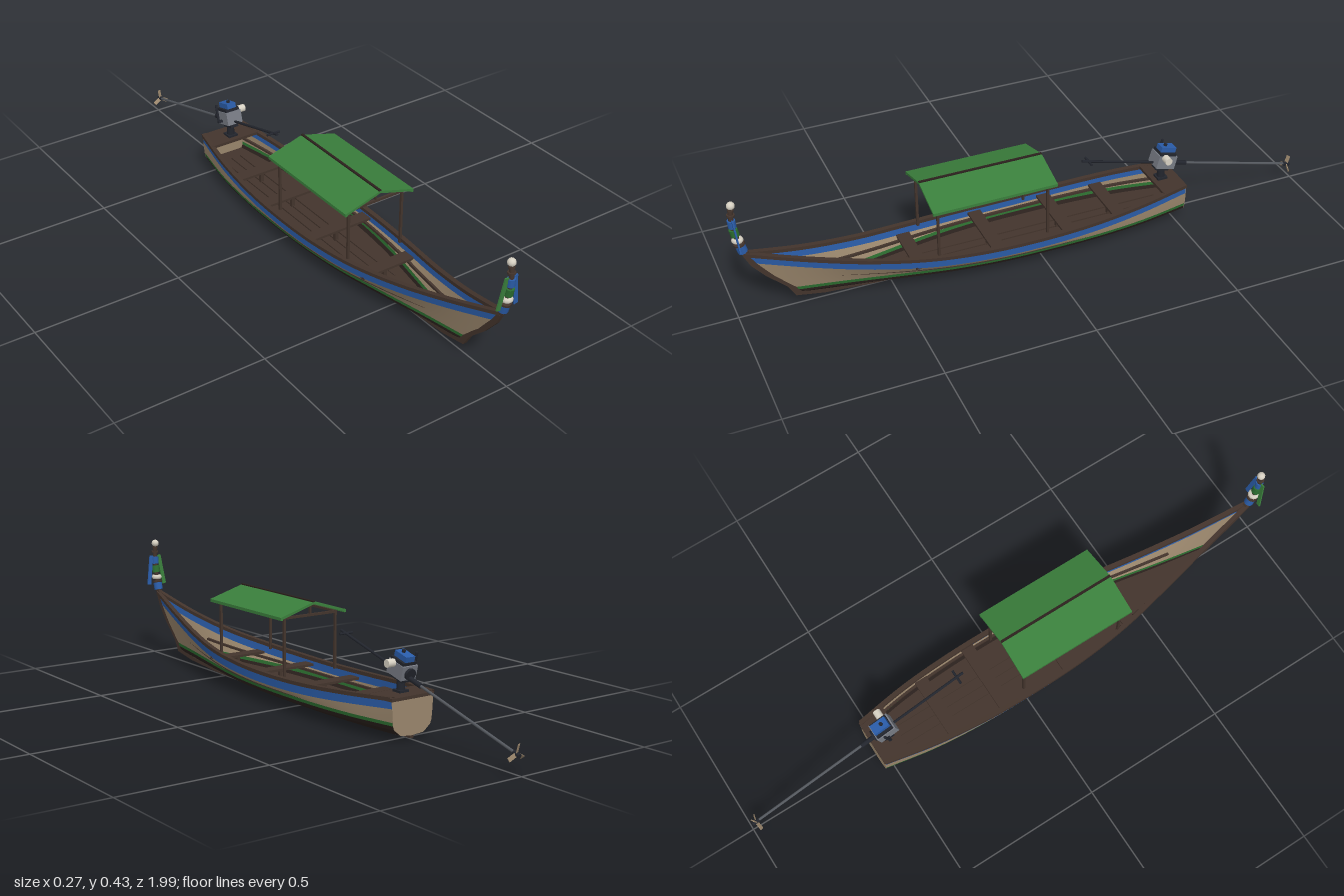
import * as THREE from 'three';

const mat = (name, color, side = THREE.FrontSide) => {
  const m = new THREE.MeshStandardMaterial({ color, side });
  m.name = name;
  return m;
};
const D = THREE.DoubleSide;
const M = {
  brown: mat('dark wood', 0x43342c, D), bottom: mat('bottom paint', 0x2b211d, D),
  tan: mat('bare wood', 0x9a866c, D), green: mat('green', 0x3a7f3c, D),
  stripe: mat('stripe green', 0x2c6e30, D), blue: mat('blue', 0x2a5ca8, D),
  white: mat('cream', 0xd8d2c4), grey: mat('engine grey', 0x777b84),
  black: mat('black metal', 0x22252d), steel: mat('shaft steel', 0x54585e),
};

// Hull tables: nine even stations from stern (s = 0) to stem (s = 1)
const BEAM = [0.08, 0.112, 0.128, 0.131, 0.126, 0.107, 0.073, 0.037, 0.005];
const SHEER = [0.133, 0.121, 0.11, 0.105, 0.108, 0.119, 0.142, 0.181, 0.233];
const KEEL = [0.013, 0.011, 0.01, 0.01, 0.01, 0.011, 0.014, 0.022, 0.04];
const sample = (a, s) => {
  const i = Math.min(Math.floor(s * 8), 7), t = s * 8 - i;
  const p = a[i], q = a[i + 1], o = i ? a[i - 1] : 2 * p - q, r = i < 7 ? a[i + 2] : 2 * q - p;
  return p + 0.5 * t * (q - o + t * (2 * o - 5 * p + 4 * q - r + t * (3 * (p - q) + r - o)));
};
const lerp = THREE.MathUtils.lerp;
const blueY = (s) => sample(SHEER, s) - lerp(0.028, 0.036, s);

// Hull levels from keel to sheer: share of beam, height, z of the stem end
const LEVELS = [
  [0, (s) => sample(KEEL, s), 0.805],
  [0.55, (s) => lerp(0.017, 0.044, s ** 4), 0.808],
  [0.87, (s) => lerp(0.038, 0.048, s ** 4), 0.81],
  [0.93, (s) => lerp(0.051, 0.056, s ** 3), 0.815],
  [0.95, (s) => lerp(0.062, 0.068, s ** 3), 0.822],
  [0.975, (s) => (lerp(0.062, 0.068, s ** 3) + blueY(s)) / 2, 0.885],
  [0.99, blueY, 0.935],
  [1, (s) => sample(SHEER, s), 0.957],
];
const level = (j, side = 1, dx = 0, dy = 0) => (s) => {
  const [f, y, end] = LEVELS[j];
  const x = Math.max(sample(BEAM, s) * f + dx, 0);
  return [side * x, y(s) + dy, lerp(-0.53, end, s)];
};

// Surface through a row of curves
function loft(curves, flat = false, s0 = 0, s1 = 1, n = 40) {
  const pos = [], idx = [], w = n + 1;
  curves.forEach((c) => { for (let i = 0; i <= n; i++) pos.push(...c(lerp(s0, s1, i / n))); });
  for (let j = 0; j < curves.length - 1; j++) {
    for (let i = 0; i < n; i++) {
      const a = j * w + i, b = a + w;
      idx.push(a, b, a + 1, b, b + 1, a + 1);
    }
  }
  let g = new THREE.BufferGeometry();
  g.setAttribute('position', new THREE.Float32BufferAttribute(pos, 3));
  g.setIndex(idx);
  if (flat) g = g.toNonIndexed();
  g.computeVertexNormals();
  return g;
}

function add(parent, name, geo, material, x = 0, y = 0, z = 0) {
  const m = new THREE.Mesh(geo, material);
  m.name = name;
  m.position.set(x, y, z);
  parent.add(m);
  return m;
}
const box = (w, h, d) => new THREE.BoxGeometry(w, h, d);
const cyl = (a, b, h, n = 12) => new THREE.CylinderGeometry(a, b, h, n);
const shape = (pts) => new THREE.Shape(pts.map(([x, y]) => new THREE.Vector2(x, y)));
const extrude = (pts, depth) => new THREE.ExtrudeGeometry(shape(pts), { depth, bevelEnabled: false });
function group(parent, name) {
  const g = new THREE.Group();
  g.name = name;
  parent.add(g);
  return g;
}

function buildHull(root) {
  const hull = group(root, 'hull');
  for (const side of [1, -1]) {
    const strip = (name, a, b, m) => {
      const c = [];
      for (let j = a; j <= b; j++) c.push(level(j, side));
      if (side < 0) c.reverse();
      add(hull, name, loft(c), m);
    };
    strip('bottomPlank', 0, 1, M.bottom);
    strip('bilgePlank', 1, 2, M.bottom);
    strip('lowerSide', 2, 3, M.bottom);
    strip('greenStripe', 3, 4, M.stripe);
    strip('sidePlank', 4, 6, M.tan);
    strip('blueStripe', 6, 7, M.blue);
    // gunwale and inner seat stringer, both of square section
    const bar = (name, j, dx, dy, w, h, s1) => add(hull, name, loft(
      [[-w, -h], [w, -h], [w, h], [-w, h], [-w, -h]].map(([u, v]) => level(j, side, dx + u, dy + v)),
      true, 0, s1), M.brown);
    bar('gunwale', 7, -0.002, 0.003, 0.008, 0.006, 1);
    bar('seatStringer', 5, -0.006, -0.002, 0.004, 0.004, 0.85);
  }
  // floor boards
  add(hull, 'floor', loft([level(2, 1, -0.001, 0.003), level(2, -1, -0.001, 0.003)], false, 0, 0.98), M.brown);
  for (const x of [-0.035, 0, 0.035]) add(hull, 'floorBatten', box(0.005, 0.005, 0.9), M.brown, x, 0.044, -0.02);
  // transom
  const right = LEVELS.map((_, j) => level(j)(0));
  const outline = [...right, ...right.slice(1).reverse().map(([x, y]) => [-x, y])];
  add(hull, 'transom', extrude(outline, 0.012), M.tan, 0, 0, -0.532);
  // keel and raked stem in one piece
  const keel = extrude([
    [-0.53, 0.004], [-0.1, 0], [0.3, 0], [0.55, 0.005], [0.72, 0.018], [0.812, 0.035], [0.835, 0.075],
    [0.862, 0.102], [0.897, 0.135], [0.942, 0.19], [0.968, 0.245], [0.945, 0.245], [0.92, 0.19],
    [0.875, 0.135], [0.815, 0.082], [0.79, 0.05], [0.7, 0.03], [0.5, 0.016], [-0.53, 0.016]], 0.014);
  keel.rotateY(-Math.PI / 2).translate(0.007, 0, 0);
  add(hull, 'keelAndStem', keel, M.brown);
}

function buildInterior(root) {
  const inside = group(root, 'interior');
  // stern deck
  const deck = extrude([[-0.082, -0.534], [0.082, -0.534], [0.097, -0.44], [-0.097, -0.44]], 0.01);
  deck.rotateX(Math.PI / 2);
  add(inside, 'sternDeck', deck, M.brown, 0, 0.137, 0);
  // seats with a centre leg
  for (const z of [-0.28, -0.09, 0.16, 0.42]) {
    const w = 2 * sample(BEAM, (z + 0.53) / 1.487) - 0.012;
    add(inside, 'seat', box(w, 0.008, 0.045), M.brown, 0, 0.09, z);
    add(inside, 'seatLeg', box(0.012, 0.045, 0.012), M.brown, 0, 0.065, z);
  }
}

function buildCanopy(root) {
  const canopy = group(root, 'canopy');
  const zMid = 0.178, len = 0.42;
  const roof = extrude([[-0.13, 0.298], [-0.122, 0.298], [-0.122, 0.302], [0, 0.338], [0.122, 0.302], [0.122, 0.298],
    [0.13, 0.298], [0.13, 0.308], [0, 0.346], [-0.13, 0.308]], len);
  add(canopy, 'roof', roof, M.green, 0, 0, zMid - len / 2);
  add(canopy, 'ridgePole', box(0.008, 0.006, len), M.bottom, 0, 0.346, zMid);
  for (const z of [-0.01, 0.365]) {
    for (const x of [-0.102, 0.102]) add(canopy, 'post', box(0.008, 0.195, 0.008), M.brown, x, 0.205, z);
    add(canopy, 'crossBeam', box(0.212, 0.008, 0.008), M.brown, 0, 0.3, z);
    add(canopy, 'kingPost', box(0.006, 0.036, 0.006), M.brown, 0, 0.32, z);
  }
  for (const x of [-0.102, 0.102]) add(canopy, 'sideBeam', box(0.007, 0.007, 0.38), M.brown, x, 0.301, zMid);
}

function buildProw(root) {
  const prow = group(root, 'prow');
  const path = new THREE.CatmullRomCurve3([[0.955, 0.232], [0.968, 0.28], [0.979, 0.33], [0.982, 0.37], [0.979, 0.415]]
    .map(([z, y]) => new THREE.Vector3(0, y, z)));
  add(prow, 'prowPost', new THREE.TubeGeometry(path, 16, 0.008, 8), M.brown);
  // wrapped cloth bands and garland: height along post, radius, length
  const band = (name, t, r, h, m) => {
    const p = path.getPointAt(t);
    const b = add(prow, name, cyl(r, r, h, 10), m, p.x, p.y, p.z);
    b.quaternion.setFromUnitVectors(new THREE.Vector3(0, 1, 0), path.getTangentAt(t));
  };
  band('blueSash', 0.15, 0.016, 0.026, M.blue);
  band('collar', 0.25, 0.018, 0.007, M.brown);
  band('greenSash', 0.5, 0.014, 0.026, M.stripe);
  band('upperBlueSash', 0.68, 0.013, 0.026, M.blue);
  band('finialRing', 0.85, 0.013, 0.005, M.brown);
  band('finialRing', 0.94, 0.01, 0.005, M.brown);
  const g = path.getPointAt(0.34);
  add(prow, 'garland', new THREE.TorusGeometry(0.011, 0.0085, 6, 10).rotateX(Math.PI / 2), M.white, 0, g.y, g.z);
  add(prow, 'finialBall', new THREE.IcosahedronGeometry(0.0135, 1), M.white, 0, 0.42, 0.978);
  // hanging ribbons
  for (const side of [1, -1]) {
    const r = add(prow, 'ribbon', box(0.014, 0.11, 0.005), side > 0 ? M.blue : M.green, side * 0.024, 0.32, 0.977);
    r.rotation.set(0.08, 0, side * 0.15);
  }
}

function buildMotor(root) {
  add(root, 'motorPedestal', cyl(0.012, 0.014, 0.06, 10), M.black, 0, 0.16, -0.475);
  add(root, 'pedestalFoot', box(0.036, 0.008, 0.036), M.black, 0, 0.14, -0.475);
  const motor = group(root, 'motor');
  motor.position.set(0, 0.208, -0.48);
  motor.rotation.x = -0.265;
  const rod = (name, r, z0, z1, m) =>
    add(motor, name, cyl(r, r, z1 - z0, 8).rotateX(Math.PI / 2), m, 0, -0.012, (z0 + z1) / 2);
  add(motor, 'engineBlock', box(0.058, 0.046, 0.07), M.grey, 0, 0.002, 0);
  add(motor, 'engineMount', box(0.03, 0.014, 0.05), M.black, 0, -0.028, 0);
  add(motor, 'engineCover', box(0.052, 0.01, 0.06), M.black, 0, 0.03, 0);
  add(motor, 'fuelTank', box(0.034, 0.018, 0.056), M.blue, 0, 0.044, 0);
  add(motor, 'tankCap', cyl(0.006, 0.006, 0.008), M.black, 0, 0.056, 0.008);
  add(motor, 'airFilter', cyl(0.013, 0.013, 0.027).rotateZ(Math.PI / 2), M.white, 0.042, 0.02, 0.012);
  add(motor, 'exhaustElbow', box(0.018, 0.008, 0.01), M.black, -0.036, -0.008, -0.005);
  add(motor, 'exhaustPipe', cyl(0.0045, 0.0045, 0.062, 8), M.black, -0.042, 0.022, -0.005);
  add(motor, 'flywheel', cyl(0.019, 0.019, 0.01, 14).rotateX(Math.PI / 2), M.black, 0, 0, -0.039);
  // propeller shaft and steering handle
  rod('shaftCoupling', 0.008, -0.095, -0.035, M.black);
  rod('propellerShaft', 0.0045, -0.525, -0.09, M.steel);
  rod('steeringHandle', 0.0045, 0.03, 0.31, M.black);
  add(motor, 'handleBar', cyl(0.004, 0.004, 0.05, 8).rotateZ(Math.PI / 2), M.black, 0, -0.012, 0.285);
  // propeller
  rod('propellerHub', 0.007, -0.533, -0.508, M.black);
  for (let i = 0; i < 3; i++) {
    const hub = group(motor, 'propellerBlade');
    hub.position.set(0, -0.012, -0.52);
    hub.rotation.z = (i * 2 * Math.PI) / 3;
    add(hub, 'blade', box(0.013, 0.026, 0.003), M.tan, 0, 0.018, 0).rotation.y = 0.5;
  }
}

export function createModel() {
  const root = new THREE.Group();
  root.name = 'longtailBoat';
  [buildHull, buildInterior, buildCanopy, buildProw, buildMotor].forEach((build) => build(root));
  return root;
}
